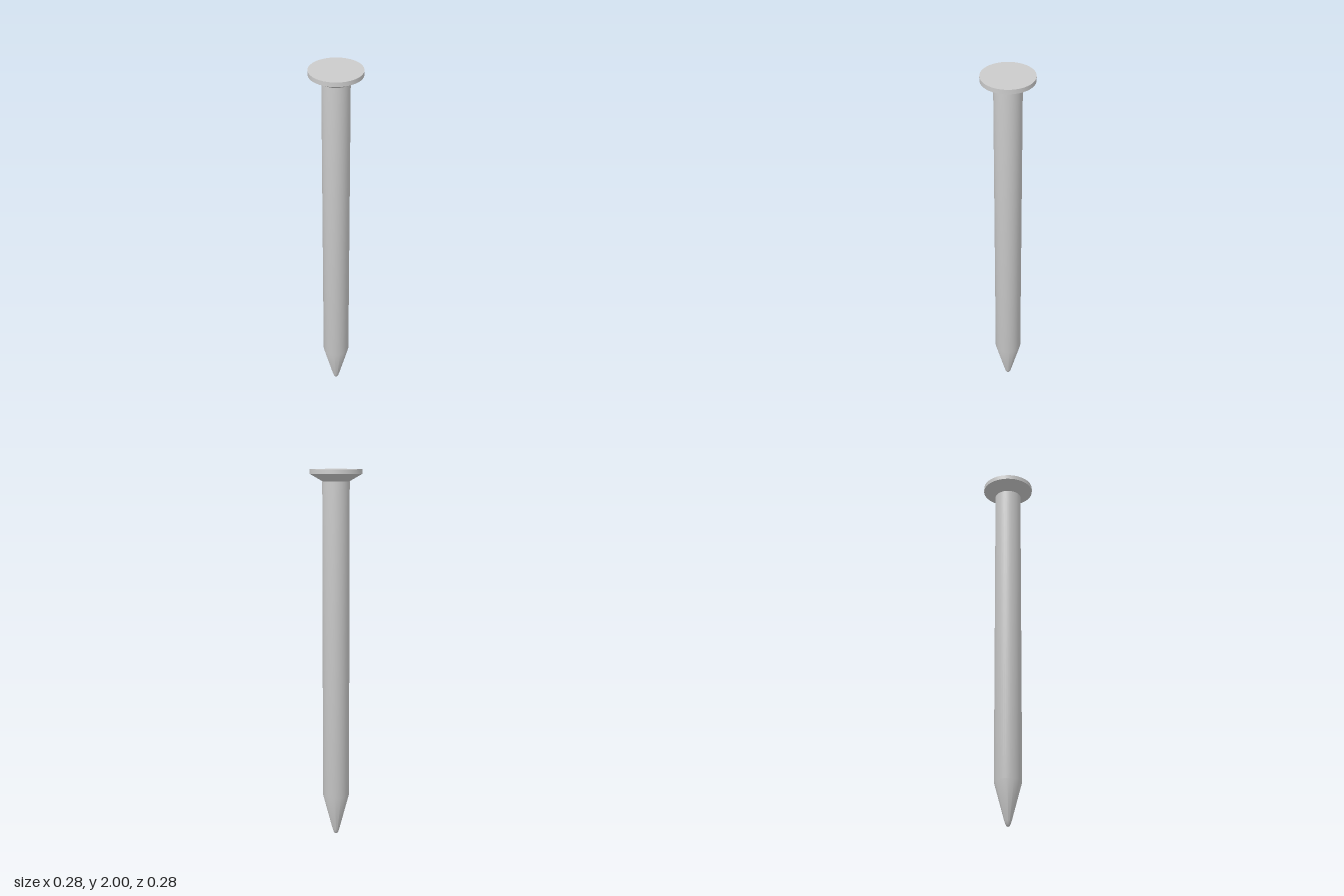
import * as THREE from 'three';
import { toCreasedNormals } from 'three/addons/utils/BufferGeometryUtils.js';

const SIDES = 40;
const SHAFT_R = 0.072;
const HEAD_R = 0.138;
const material = new THREE.MeshStandardMaterial({ color: 0xcccccc });

// Revolve a profile, listed bottom to top as [radius, height]
function turned(name, profile) {
  const points = profile.map(([r, y]) => new THREE.Vector2(r, y));
  const geometry = toCreasedNormals(new THREE.LatheGeometry(points, SIDES), Math.PI / 5);
  const mesh = new THREE.Mesh(geometry, material);
  mesh.name = name;
  return mesh;
}

export function createModel() {
  const nail = new THREE.Group();
  nail.name = 'nail';

  // Straight shaft with a tapered, slightly rounded point
  nail.add(turned('shaftAndPoint', [
    [0, 0], [0.007, 0.003], [0.013, 0.012], [0.019, 0.03],
    [SHAFT_R, 0.23], [SHAFT_R, 1.938],
  ]));

  // Flat countersunk head: flared underside, thin rim, flat top
  nail.add(turned('head', [
    [SHAFT_R, 1.938], [HEAD_R, 1.976], [HEAD_R, 2], [0, 2],
  ]));

  return nail;
}
